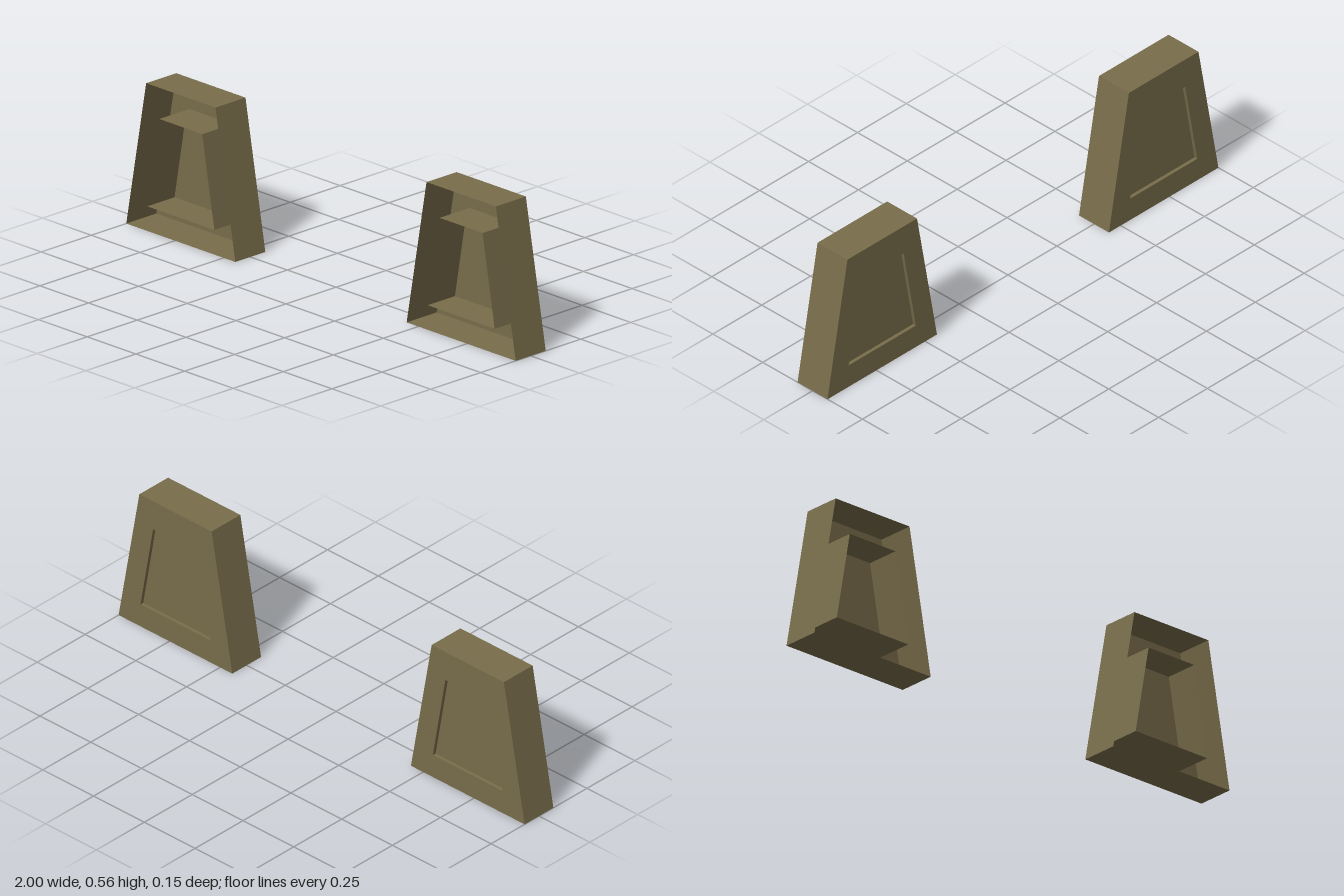
import * as THREE from 'three';

// Trapezoid cross-section, listed counter-clockwise seen from the front
const trapezoid = (bottomHalf, topHalf, y0, y1, z) => [
  [-bottomHalf, y0, z], [bottomHalf, y0, z], [topHalf, y1, z], [-topHalf, y1, z],
];

// Flat-sided band joining two four-cornered sections
function band(a, b) {
  const points = [];
  for (let i = 0; i < 4; i++) {
    const j = (i + 1) % 4;
    points.push(a[i], b[i], b[j], a[i], b[j], a[j]);
  }
  return surface(points);
}

function surface(points) {
  const geometry = new THREE.BufferGeometry();
  geometry.setAttribute('position', new THREE.Float32BufferAttribute(points.flat(), 3));
  geometry.computeVertexNormals();
  return geometry;
}

export function createModel() {
  const model = new THREE.Group();
  model.name = 'trapezoidPair';

  const olive = new THREE.MeshStandardMaterial({ color: 0x786c4a, side: THREE.DoubleSide });
  olive.name = 'olive brown';

  const front = 0.075, back = -0.075, panelZ = -0.061;
  const outer = (z) => trapezoid(0.28, 0.178, 0, 0.562, z);
  const inner = (z) => trapezoid(0.172, 0.11, 0.094, 0.443, z);
  const p = inner(panelZ);

  // Hollow shell, open at the front between its outer and inner walls
  const parts = {
    outerWalls: band(outer(front), outer(back)),
    backFrame: band(outer(back), inner(back)),
    innerWalls: band(inner(back), inner(front)),
    recessedPanel: surface([p[0], p[2], p[1], p[0], p[3], p[2]]),
  };

  // Two identical pieces, one on each side
  for (const [name, x] of [['rightPiece', -0.72], ['leftPiece', 0.72]]) {
    const piece = new THREE.Group();
    piece.name = name;
    piece.position.x = x;
    for (const [partName, geometry] of Object.entries(parts)) {
      const mesh = new THREE.Mesh(geometry, olive);
      mesh.name = partName;
      piece.add(mesh);
    }
    model.add(piece);
  }
  return model;
}
